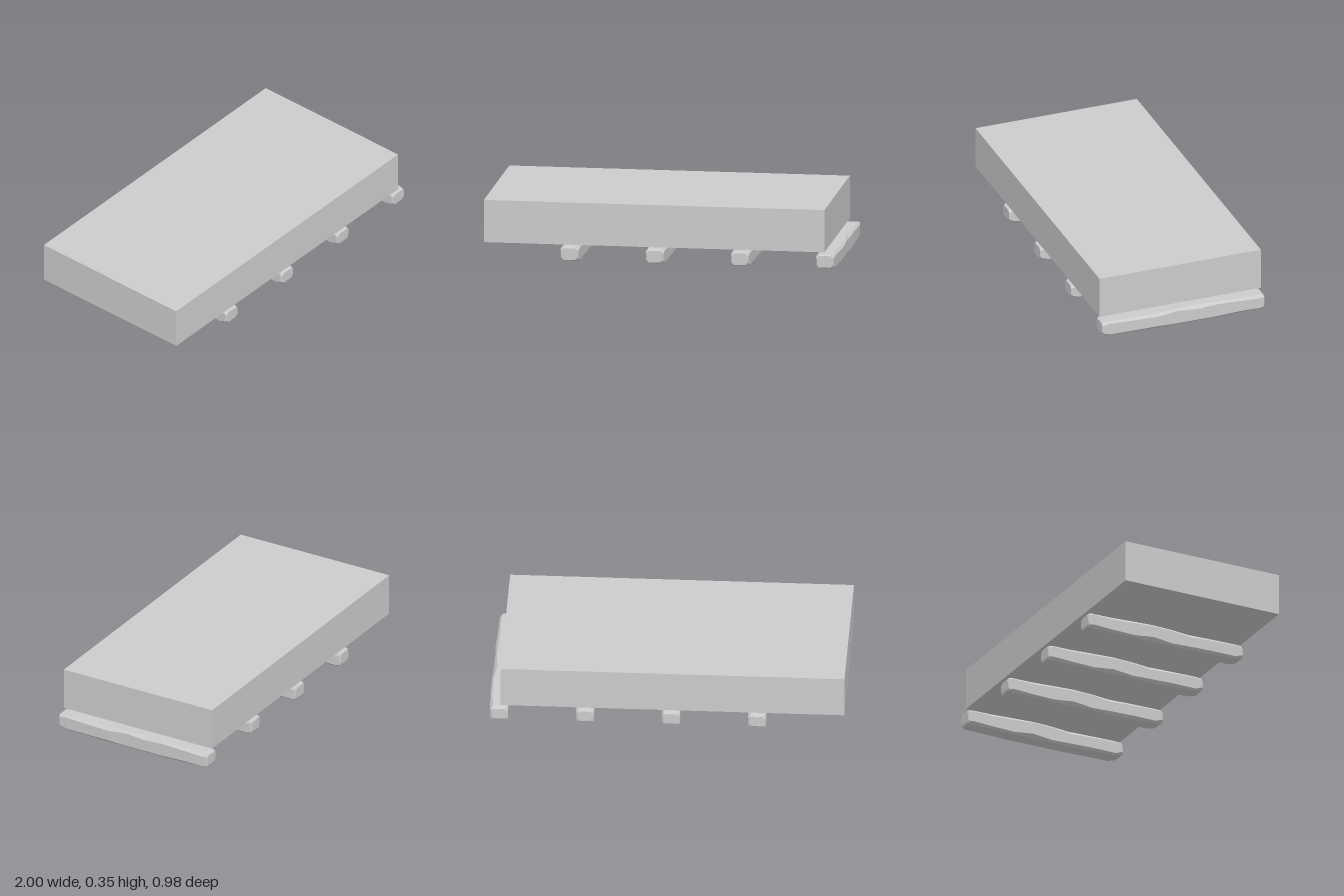
import * as THREE from 'three';

// Stations along a rough-hewn beam: z, left edge, right edge, bottom, top, chamfer
const STATIONS = [
  [0.489, -0.052, 0.04, 0.024, 0.09, 0.012],
  [0.478, -0.058, 0.045, 0.018, 0.095, 0.012],
  [0.44, -0.058, 0.047, 0.01, 0.096, 0.014],
  [0.3, -0.057, 0.05, 0.006, 0.097, 0.012],
  [0.15, -0.054, 0.055, 0.002, 0.098, 0.015],
  [0.04, -0.055, 0.05, 0.004, 0.102, 0.014],
  [-0.08, -0.057, 0.053, 0.005, 0.105, 0.016],
  [-0.2, -0.055, 0.056, 0.003, 0.103, 0.012],
  [-0.34, -0.052, 0.056, 0.007, 0.099, 0.014],
  [-0.46, -0.05, 0.052, 0.01, 0.095, 0.012],
  [-0.482, -0.049, 0.05, 0.012, 0.092, 0.012],
  [-0.488, -0.042, 0.043, 0.022, 0.085, 0.012],
];

// Chamfered eight-sided sections joined into a closed beam
function beamGeometry() {
  const pos = [], index = [], n = 8;
  STATIONS.forEach(([z, l, r, b, t, c], i) => {
    const d = c * (1 + 0.35 * Math.sin(i * 2.3));
    const e = c * (1 + 0.35 * Math.cos(i * 1.7));
    const ring = [[l + d, b], [r - e, b], [r, b + e], [r, t - d], [r - d, t], [l + e, t], [l, t - e], [l, b + d]];
    for (const [x, y] of ring) pos.push(x, y, z);
  });
  const last = (STATIONS.length - 1) * n;
  for (let s = 0; s < last; s += n) {
    for (let k = 0; k < n; k++) {
      const a = s + k, b = s + (k + 1) % n;
      index.push(a, a + n, b, b, a + n, b + n);
    }
  }
  // End caps
  for (let k = 1; k < n - 1; k++) {
    index.push(0, k, k + 1, last, last + k + 1, last + k);
  }
  const g = new THREE.BufferGeometry();
  g.setAttribute('position', new THREE.Float32BufferAttribute(pos, 3));
  g.setIndex(index);
  const flat = g.toNonIndexed();
  flat.computeVertexNormals();
  return flat;
}

export function createModel() {
  const group = new THREE.Group();
  const material = new THREE.MeshStandardMaterial({ color: 0xcccccc, flatShading: true });

  // Plain slab floating just above the beams
  const slab = new THREE.Mesh(new THREE.BoxGeometry(1.935, 0.242, 0.972), material);
  slab.name = 'slab';
  slab.position.set(-0.0325, 0.232, 0);
  group.add(slab);

  // Four evenly spaced support beams
  const geometry = beamGeometry();
  for (let i = 0; i < 4; i++) {
    const beam = new THREE.Mesh(geometry, material);
    beam.name = `supportBeam${i + 1}`;
    beam.position.x = -0.508 + i * 0.484;
    group.add(beam);
  }
  return group;
}
